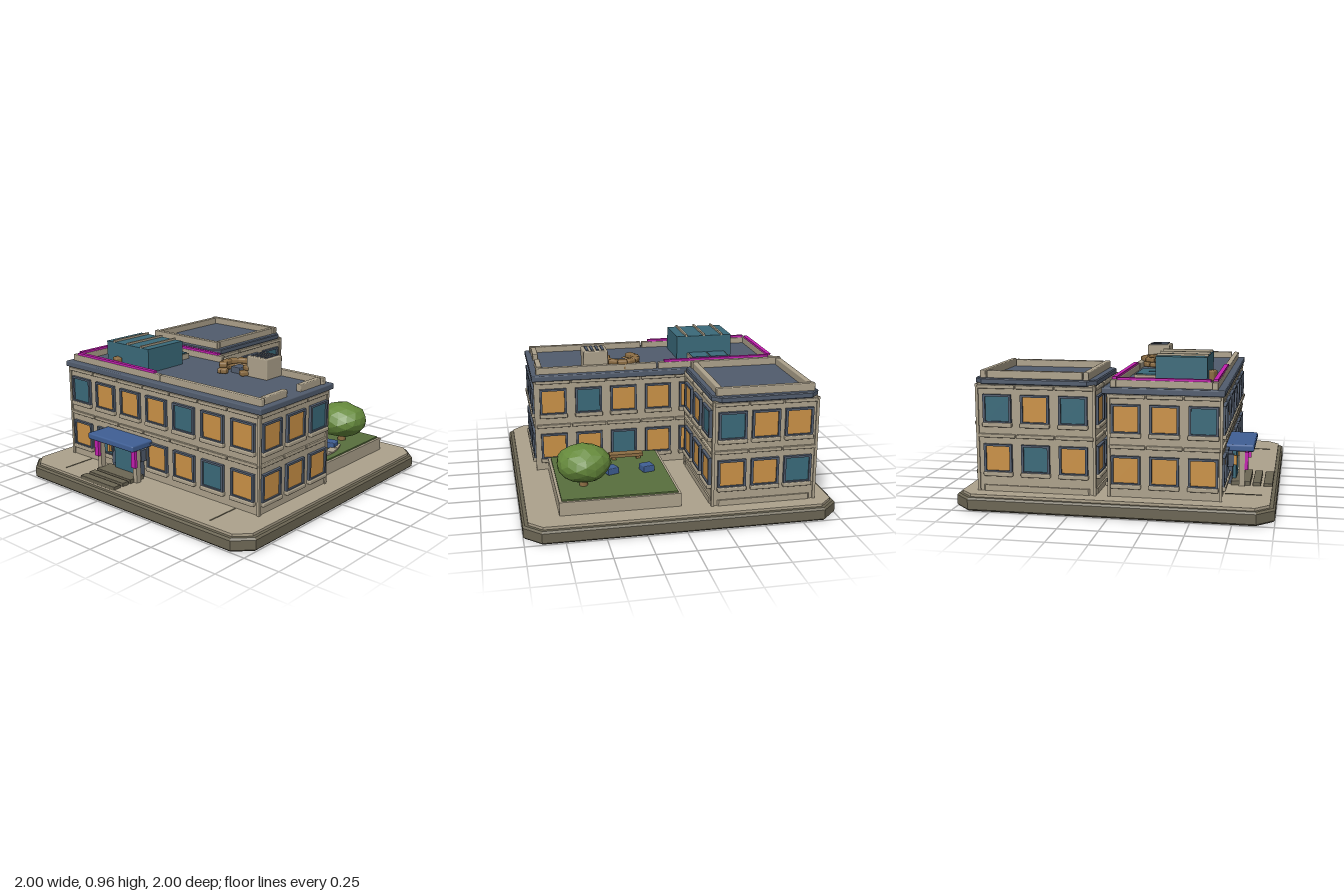
import * as THREE from 'three';
import { RoundedBoxGeometry } from 'three/addons/geometries/RoundedBoxGeometry.js';

const mat = (name, color) => {
  const m = new THREE.MeshStandardMaterial({ color });
  m.name = name;
  return m;
};

export function createModel() {
  const root = new THREE.Group();
  root.name = 'building';
  const M = {
    tan: mat('concrete', 0xada28c), stone: mat('dark stone', 0x6c6654), navy: mat('slate', 0x515c6d),
    amber: mat('lit glass', 0xcb9247), teal: mat('teal glass', 0x3a6a7a), grass: mat('grass', 0x586f3d),
    leaf: mat('leaves', 0x668a3c), blue: mat('blue', 0x3f5f95), pink: mat('magenta', 0xc41fb0),
    brown: mat('brown', 0x8c6d43),
  };

  const add = (name, geo, m, x = 0, y = 0, z = 0, parent = root) => {
    const mesh = new THREE.Mesh(geo, m);
    mesh.name = name;
    mesh.position.set(x, y, z);
    parent.add(mesh);
    return mesh;
  };
  // Box from its limits on each axis; r rounds the edges
  const span = (name, m, x0, x1, y0, y1, z0, z1, r = 0, parent = root) => {
    const s = [x1 - x0, y1 - y0, z1 - z0];
    const geo = r ? new RoundedBoxGeometry(...s, 1, r) : new THREE.BoxGeometry(...s);
    return add(name, geo, m, (x0 + x1) / 2, (y0 + y1) / 2, (z0 + z1) / 2, parent);
  };
  // Flat slab with cut corners, optionally bevelled
  const slab = (name, m, hx, hz, cut, x, y, z, h, bevel = 0) => {
    const a = hx - bevel, b = hz - bevel;
    const pts = [[a, b - cut], [a - cut, b], [cut - a, b], [-a, b - cut],
      [-a, cut - b], [cut - a, -b], [a - cut, -b], [a, cut - b]];
    const shape = new THREE.Shape(pts.map((p) => new THREE.Vector2(...p)));
    const geo = new THREE.ExtrudeGeometry(shape, {
      depth: h - 2 * bevel, bevelEnabled: bevel > 0, bevelSize: bevel, bevelThickness: bevel, bevelSegments: 1,
    });
    geo.rotateX(-Math.PI / 2);
    return add(name, geo, m, x, y + bevel, z);
  };

  // Ground
  slab('base', M.stone, 1, 1, 0.1, 0, 0, 0, 0.085, 0.012);
  slab('paving', M.tan, 0.967, 0.967, 0.085, 0, 0.08, 0, 0.022);
  for (const x of [-0.67, 0.66]) span('pavingJoint', M.stone, x - 0.005, x + 0.005, 0.1, 0.105, 0.68, 0.91);

  // Window: frame with a hole, pane and sill, facing +z
  const ring = new THREE.Shape([[-1, -1], [1, -1], [1, 1], [-1, 1]].map(([x, y]) => new THREE.Vector2(x * 0.091, y * 0.091)));
  ring.holes.push(new THREE.Path([[-1, -1], [-1, 1], [1, 1], [1, -1]].map(([x, y]) => new THREE.Vector2(x * 0.076, y * 0.078))));
  const frameGeo = new THREE.ExtrudeGeometry(ring, { depth: 0.022, bevelEnabled: false });
  const paneGeo = new THREE.BoxGeometry(0.154, 0.158, 0.009);
  const sillGeo = new RoundedBoxGeometry(0.19, 0.028, 0.035, 1, 0.007);

  // One wall side: rows of windows, upper row first (a = amber, t = teal, - = none)
  const facade = (name, rows, ys, bands, step, width, x, z, turn) => {
    const g = new THREE.Group();
    g.name = name;
    g.position.set(x, 0, z);
    g.rotation.y = turn;
    root.add(g);
    rows.forEach((row, r) => {
      const n = row.length;
      [...row].forEach((c, i) => {
        const px = (i - (n - 1) / 2) * step;
        if (c !== '-') {
          add('windowFrame', frameGeo, M.navy, px, ys[r], -0.002, g);
          add('windowPane', paneGeo, c === 't' ? M.teal : M.amber, px, ys[r], 0.004, g);
          add('windowSill', sillGeo, M.tan, px, ys[r] - 0.1, 0.012, g);
        }
      });
      // Moulding in separate lengths
      const len = width / n;
      for (let i = 0; i < n; i++) {
        const px = (i - (n - 1) / 2) * len;
        span('moulding', M.tan, px - len / 2 + 0.004, px + len / 2 - 0.004, bands[r] - 0.012, bands[r] + 0.012, -0.01, 0.014, 0.005, g);
      }
    });
  };
  const H = Math.PI / 2;

  // Main block
  span('mainWalls', M.tan, -0.86, 0.84, 0.1, 0.75, -0.02, 0.67);
  span('mainRoof', M.navy, -0.885, 0.862, 0.745, 0.785, -0.06, 0.69, 0.008);
  const my = [0.592, 0.272], mb = [0.73, 0.418];
  facade('mainFront', ['taaataa', 'at-aata'], my, mb, 0.243, 1.7, -0.01, 0.67, 0);
  facade('mainBack', ['ataaaat', 'aataaaa'], my, mb, 0.243, 1.7, -0.01, -0.02, 2 * H);
  facade('mainRight', ['aat', 'aaa'], my, mb, 0.238, 0.69, 0.84, 0.325, H);
  facade('mainLeft', ['aat', 'aaa'], my, mb, 0.238, 0.69, -0.86, 0.325, -H);

  // Rear wing
  span('wingWalls', M.tan, -0.86, -0.19, 0.1, 0.79, -0.86, -0.11);
  slab('wingPlinth', M.tan, 0.345, 0.385, 0.05, -0.525, 0.1, -0.485, 0.04);
  slab('wingRoof', M.navy, 0.345, 0.39, 0.05, -0.525, 0.782, -0.49, 0.038, 0.006);
  const wy = [0.63, 0.315], wb = [0.768, 0.458];
  facade('wingRight', ['aat', 'aaa'], wy, wb, 0.243, 0.75, -0.19, -0.485, H);
  facade('wingLeft', ['tat', 'ata'], wy, wb, 0.243, 0.75, -0.86, -0.485, -H);
  facade('wingBack', ['taa', 'aat'], wy, wb, 0.215, 0.67, -0.525, -0.86, 2 * H);
  facade('wingInner', ['aaa', 'ata'], wy, wb, 0.215, 0.67, -0.525, -0.11, 0);
  for (const x of [-0.82, -0.235]) span('wingParapet', M.tan, x - 0.018, x + 0.018, 0.815, 0.866, -0.8, -0.19, 0.006);
  for (const z of [-0.825, -0.165]) span('wingParapet', M.tan, -0.845, -0.21, 0.815, 0.868, z - 0.018, z + 0.018, 0.006);

  // Corner posts on both blocks
  for (const [x0, x1, z0, z1, y] of [[-0.86, 0.84, -0.02, 0.67, 0.745], [-0.86, -0.19, -0.86, -0.11, 0.785]])
    for (const x of [x0, x1]) for (const z of [z0, z1])
      span('cornerPost', M.tan, x - 0.009, x + 0.009, 0.1, y, z - 0.009, z + 0.009);

  // Main parapets with magenta light strips
  for (const z of [0.005, 0.627]) {
    span('mainParapet', M.tan, -0.855, -0.015, 0.78, 0.828, z - 0.018, z + 0.018, 0.006);
    span('mainParapet', M.tan, -0.005, 0.83, 0.78, 0.828, z - 0.018, z + 0.018, 0.006);
    span('lightStrip', M.pink, -0.81, -0.06, 0.825, 0.842, z - 0.014, z + 0.014);
  }
  span('mainParapet', M.tan, -0.843, -0.807, 0.78, 0.828, 0.02, 0.61, 0.006);
  span('lightStrip', M.pink, -0.839, -0.811, 0.825, 0.842, 0.03, 0.6);
  for (const z of [0.03, 0.38]) span('mainParapet', M.tan, 0.784, 0.822, 0.78, 0.83, z, z + 0.215, 0.006);

  // Rooftop glasshouse with ribs, and low skylights
  span('glasshouse', M.teal, -0.6, -0.2, 0.78, 0.947, 0.225, 0.552);
  for (const x of [-0.53, -0.4, -0.27]) span('roofRib', M.tan, x - 0.007, x + 0.007, 0.943, 0.96, 0.225, 0.552);
  span('skylightFrame', M.tan, -0.556, -0.277, 0.78, 0.822, 0.08, 0.226);
  for (const x of [-0.546, -0.411]) span('skylight', M.teal, x, x + 0.125, 0.82, 0.828, 0.09, 0.222);

  // Vent unit with slots
  span('ventUnit', M.tan, 0.33, 0.5, 0.78, 0.922, 0.015, 0.177, 0.008);
  for (let i = 0; i < 4; i++) {
    const x = 0.362 + i * 0.036;
    span('ventSlot', M.navy, x - 0.009, x + 0.009, 0.919, 0.928, 0.035, 0.157);
  }

  // Ring of sandbags around a crate, one loose bag
  const bagGeo = new RoundedBoxGeometry(0.068, 0.034, 0.055, 1, 0.011);
  for (let layer = 0; layer < 2; layer++)
    for (let i = 0; i < 9 - layer; i++) {
      const a = 0.5 - (i + layer / 2) * 0.575;
      const bag = add('sandbag', bagGeo, M.brown, 0.225 + Math.cos(a) * 0.103, 0.802 + layer * 0.034, 0.125 + Math.sin(a) * 0.11);
      bag.rotation.y = H - a;
    }
  add('sandbag', bagGeo, M.brown, 0.165, 0.802, 0.222).rotation.y = 0.4;
  span('crate', M.navy, 0.187, 0.265, 0.78, 0.825, 0.08, 0.17, 0.006);
  const loose = add('looseBag', new RoundedBoxGeometry(0.065, 0.07, 0.05, 1, 0.012), M.brown, -0.48, 0.82, 0.572);
  loose.rotation.y = -0.35;

  // Entrance: door, lamps, posts with panels, canopy, steps
  span('doorFrame', M.navy, -0.42, -0.145, 0.1, 0.335, 0.66, 0.705);
  span('doorGlass', M.teal, -0.372, -0.192, 0.125, 0.322, 0.7, 0.728, 0.005);
  span('canopy', M.blue, -0.5, -0.065, 0.335, 0.38, 0.66, 0.848, 0.012);
  for (const s of [-1, 1]) {
    const x = -0.282 + s * 0.172;
    span('post', M.tan, x - 0.017, x + 0.017, 0.1, 0.337, 0.752, 0.79);
    const p = x + s * 0.006;
    span('postPanel', M.pink, p - 0.018, p + 0.018, 0.212, 0.328, 0.788, 0.81);
    const l = -0.282 + s * 0.142;
    span('lampBack', M.navy, l - 0.016, l + 0.016, 0.222, 0.302, 0.67, 0.715);
    span('lamp', M.amber, l - 0.01, l + 0.01, 0.23, 0.294, 0.71, 0.735);
  }
  [[0.91, 0.968, 0.122], [0.84, 0.892, 0.126], [0.7, 0.825, 0.13]].forEach(([z0, z1, y]) =>
    span('step', M.stone, -0.45, -0.12, 0.095, y, z0, z1, 0.004));

  // Garden bed
  span('gardenKerb', M.tan, 0, 0.77, 0.1, 0.19, -0.825, -0.04);
  span('lawn', M.grass, 0.018, 0.752, 0.18, 0.2, -0.808, -0.05);
  for (const [x, z, r] of [[0.145, -0.415, 0.25], [0.385, -0.415, 0.35], [0.62, -0.41, 0.2]])
    add('stool', new RoundedBoxGeometry(0.08, 0.045, 0.08, 1, 0.006), M.blue, x, 0.22, z).rotation.y = r;
  span('benchSeat', M.brown, 0.13, 0.36, 0.218, 0.24, -0.2, -0.135);
  for (const x of [0.16, 0.33]) span('benchLeg', M.brown, x - 0.015, x + 0.015, 0.2, 0.22, -0.19, -0.145);

  // Curved path of stones
  const path = new THREE.CatmullRomCurve3([[0.55, -0.06], [0.65, -0.16], [0.68, -0.28], [0.665, -0.38], [0.63, -0.47]]
    .map(([x, z]) => new THREE.Vector3(x, 0.204, z)));
  for (let i = 0; i < 5; i++) {
    const p = path.getPointAt((i + 0.5) / 5), t = path.getTangentAt((i + 0.5) / 5);
    add('pathStone', new THREE.BoxGeometry(0.055, 0.012, 0.088), M.tan, p.x, p.y, p.z).rotation.y = Math.atan2(t.x, t.z);
  }

  // Tree with a faceted crown
  add('trunk', new THREE.CylinderGeometry(0.02, 0.03, 0.14, 7), M.brown, 0.59, 0.26, -0.59);
  const crown = new THREE.IcosahedronGeometry(1, 2);
  const pos = crown.attributes.position, v = new THREE.Vector3();
  for (let i = 0; i < pos.count; i++) {
    v.fromBufferAttribute(pos, i);
    const k = 1 + 0.05 * Math.sin(v.x * 5 + v.z * 3) * Math.cos(v.y * 4 + v.z * 4);
    pos.setXYZ(i, v.x * k * 0.175, v.y * k * 0.122, v.z * k * 0.165);
  }
  // The crown's vertices are unshared, so these normals are flat
  crown.computeVertexNormals();
  add('crown', crown, M.leaf, 0.587, 0.35, -0.59);

  return root;
}
